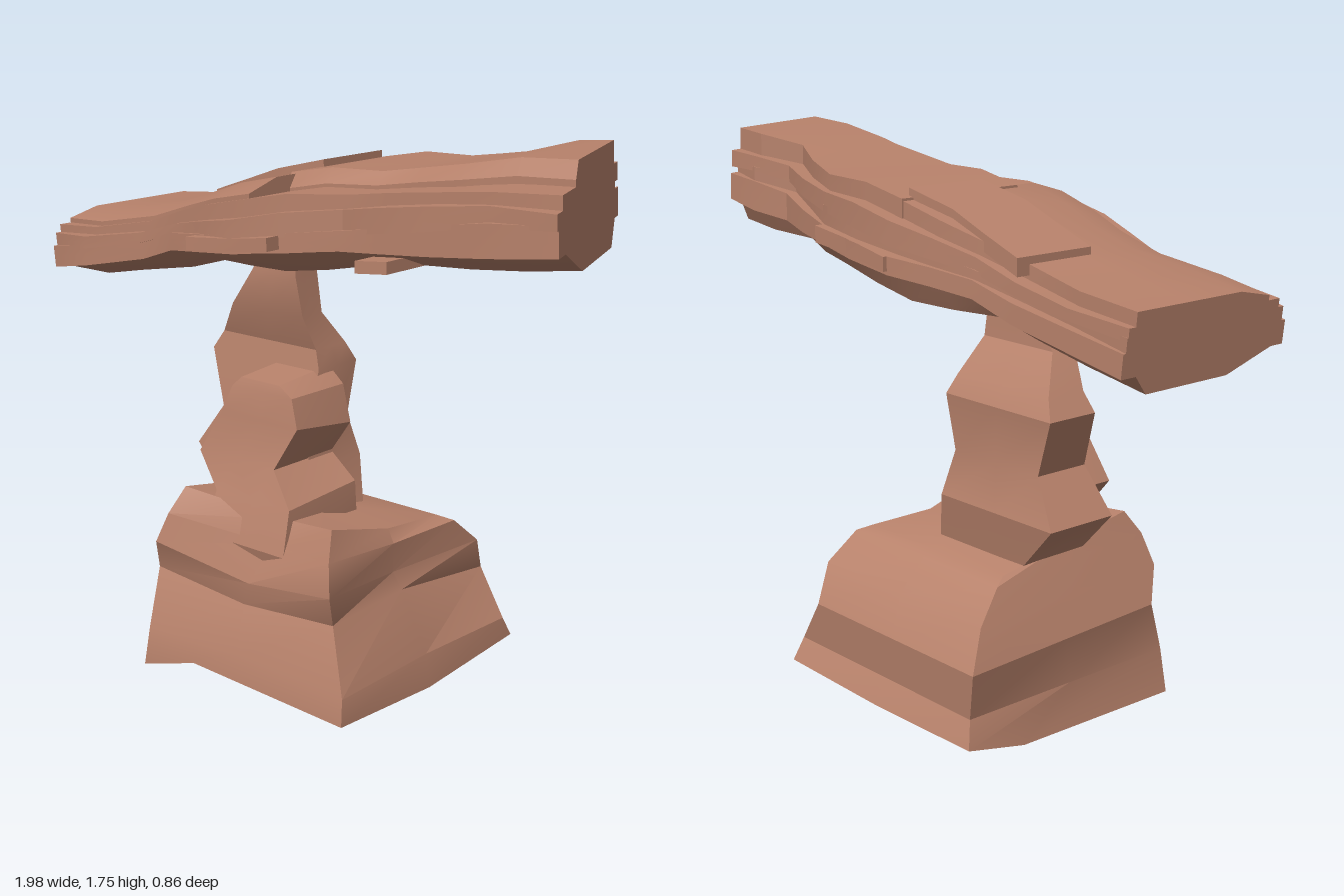
import * as THREE from 'three';
import { toCreasedNormals } from 'three/addons/utils/BufferGeometryUtils.js';

// Closed skin over a list of rings, each a list of [x, y, z]
function loft(rings, crease = 0.45) {
  const n = rings[0].length;
  const tri = [];
  for (let i = 0; i < rings.length - 1; i++) {
    for (let j = 0; j < n; j++) {
      const k = (j + 1) % n;
      const a = rings[i][j], b = rings[i][k], c = rings[i + 1][k], d = rings[i + 1][j];
      tri.push([a, b, c], [a, c, d]);
    }
  }
  const cap = (ring, flip) => {
    const mid = [0, 1, 2].map((q) => ring.reduce((s, p) => s + p[q], 0) / n);
    for (let j = 0; j < n; j++) {
      const a = ring[j], b = ring[(j + 1) % n];
      tri.push(flip ? [mid, b, a] : [mid, a, b]);
    }
  };
  cap(rings[0], true);
  cap(rings[rings.length - 1], false);
  // Turn the faces outward
  let volume = 0;
  for (const [a, b, c] of tri) {
    volume += new THREE.Vector3(...a).dot(new THREE.Vector3(...b).cross(new THREE.Vector3(...c)));
  }
  if (volume < 0) tri.forEach((t) => t.reverse());
  const g = new THREE.BufferGeometry();
  g.setAttribute('position', new THREE.Float32BufferAttribute(tri.flat(2), 3));
  return toCreasedNormals(g, crease);
}

// Piecewise linear curve through [x, value] points
function curve(points) {
  return (x) => {
    let i = 0;
    while (i < points.length - 2 && x > points[i + 1][0]) i++;
    const [x0, v0] = points[i], [x1, v1] = points[i + 1];
    return v0 + (v1 - v0) * THREE.MathUtils.clamp((x - x0) / (x1 - x0), 0, 1);
  };
}

// Eight-point ring; front and back may differ in height, and the front and
// right edge middles may be placed freely to form gullies
function blockRing([y, x0, x1, z0, z1, yBack = y, frontMid, rightMid]) {
  const mx = (x0 + x1) / 2, mz = (z0 + z1) / 2, my = (y + yBack) / 2;
  return [
    [x0, y, z1], frontMid ?? [mx, y, z1], [x1, y, z1], rightMid ?? [x1, my, mz],
    [x1, yBack, z0], [mx, yBack, z0], [x0, yBack, z0], [x0, my, mz],
  ];
}

export function createModel() {
  const model = new THREE.Group();
  const rock = new THREE.MeshStandardMaterial({ color: 0xb8826b });
  rock.name = 'redRock';
  const add = (name, geometry, parent = model) => {
    const mesh = new THREE.Mesh(geometry, rock);
    mesh.name = name;
    parent.add(mesh);
  };

  // Flared pedestal with an uneven foot
  const foot = [
    [-0.5, 0, 0.42], [-0.28, 0.065, 0.41], [0.36, 0.055, 0.43], [0.355, 0.03, 0],
    [0.36, 0.07, -0.43], [-0.07, 0.06, -0.43], [-0.5, 0.06, -0.42], [-0.5, 0.01, -0.2],
  ];
  add('pedestal', loft([foot, ...[
    [0.14, -0.47, 0.355, -0.39, 0.42, 0.14, [-0.1, 0.14, 0.4], [0.34, 0.14, 0]],
    [0.32, -0.5, 0.25, -0.405, 0.34, 0.29, [-0.12, 0.29, 0.34], [0.24, 0.33, 0]],
    [0.43, -0.46, 0.28, -0.34, 0.39, 0.41, [-0.09, 0.37, 0.35], [0.22, 0.39, 0.02]],
    [0.53, -0.42, 0.26, -0.24, 0.37, 0.5, [-0.03, 0.5, 0.3], [0.23, 0.49, 0.03]],
    [0.61, -0.4, 0.22, -0.2, 0.31, 0.52, [0, 0.58, 0.27], [0.2, 0.53, 0.02]],
  ].map(blockRing)]));

  // Tall thin rear column that carries the slab
  add('rearColumn', loft([
    [0.42, -0.36, 0.02, -0.1, 0.12],
    [0.53, -0.4, -0.02, -0.12, 0.12],
    [0.68, -0.55, -0.06, -0.15, 0.1],
    [0.82, -0.45, -0.08, -0.11, 0.08],
    [1.0, -0.52, -0.06, -0.13, 0.05],
    [1.06, -0.48, -0.08, -0.1, 0.04],
    [1.17, -0.4, -0.1, -0.01, 0.08],
    [1.3, -0.29, -0.11, 0, 0.1],
    [1.4, -0.25, -0.12, 0, 0.08],
  ].map(blockRing)));

  // Shorter twisted column in front of it
  add('frontColumn', loft([
    [0.3, -0.32, 0.02, -0.02, 0.28],
    [0.48, -0.3, 0.04, -0.02, 0.33],
    [0.62, -0.28, 0.03, -0.02, 0.29, 0.64],
    [0.72, -0.39, -0.07, -0.02, 0.25],
    [0.86, -0.31, 0.01, -0.02, 0.23, 0.83],
    [0.95, -0.27, -0.02, -0.02, 0.22],
    [0.98, -0.24, -0.08, -0.02, 0.21, 1.0],
  ].map(blockRing)));

  // Capstone outline along x
  const top = curve([[-1, 1.43], [-0.78, 1.45], [-0.57, 1.49], [-0.3, 1.58], [-0.12, 1.62],
    [0, 1.65], [0.23, 1.655], [0.5, 1.7], [0.76, 1.74], [0.97, 1.75]]);
  const bottom = curve([[-1, 1.19], [-0.8, 1.23], [-0.6, 1.255], [-0.45, 1.31], [-0.1, 1.32],
    [0.25, 1.38], [0.6, 1.41], [0.99, 1.45]]);
  const front = curve([[-1, 0.32], [-0.78, 0.365], [-0.5, 0.31], [-0.2, 0.38], [0, 0.38],
    [0.23, 0.29], [0.52, 0.32], [0.98, 0.32]]);
  const back = curve([[-1, -0.34], [-0.8, -0.34], [-0.52, -0.33], [-0.3, -0.39], [0, -0.415],
    [0.2, -0.4], [0.4, -0.34], [0.55, -0.29], [0.76, -0.36], [0.98, -0.36]]);
  const stations = [-0.99, -0.78, -0.57, -0.42, -0.28, -0.12, 0.05, 0.23, 0.38, 0.55, 0.76, 0.98];

  // One rock layer between two fractions of the height. keel narrows its underside,
  // slope narrows its upper front, and the right end is cut off at a slant.
  function layer(x0, x1, f0, f1, zBack, zFront, { keel = 0, slope = 0 } = {}) {
    const xs = [x0, ...stations.filter((x) => x > x0 + 0.03 && x < x1 - 0.03), x1];
    return loft(xs.map((x) => {
      const y = (f) => {
        const wave = 0.04 * Math.sin(4 * x + 9 * f) * Math.sin(Math.PI * THREE.MathUtils.clamp(f, 0, 1));
        return THREE.MathUtils.lerp(bottom(x), top(x), f + wave);
      };
      const wob = 0.01 * Math.sin(x * 11 + f0 * 20);
      const zb = zBack(x) + wob, zf = zFront(x) + wob;
      const lo = y(f0), hi = y(f1), mid = lo + (hi - lo) * (keel ? 0.75 : 0.5);
      return [
        [lo, zf - keel], [mid, zf], [hi, zf - slope], [hi, (zb + zf - slope) / 2],
        [hi, zb], [mid, zb], [lo, zb + keel / 4], [lo, (zb + zf) / 2 - keel / 2],
      ].map(([py, pz]) => {
        const right = Math.max(0, x - 0.5) / 0.48, left = x < -0.9 ? 0.1 : 0;
        return [x - right * (0.36 * (0.3 - pz) + 0.06 * (py - 1.6)) - left * (py - 1.35), py, pz];
      });
    }), 0.5);
  }

  const cap = new THREE.Group();
  cap.name = 'capstone';
  model.add(cap);
  const backIn = (d) => (x) => back(x) + d;
  const frontIn = (d) => (x) => front(x) - d;
  // Strata: x range, height range, inset at the back, inset at the front
  [
    [-0.99, 0.98, 0, 0.34, 0.06, 0.06, { keel: 0.18 }],
    [-0.99, 0.98, 0.26, 0.5, 0.01, 0.01],
    [-0.99, 0.98, 0.46, 0.66, 0.035, 0.01],
    [-0.99, 0.98, 0.6, 0.8, 0.02, 0.05],
    [-0.99, -0.1, 0.74, 0.97, 0.06, 0.08, { slope: 0.12 }],
  ].forEach(([x0, x1, f0, f1, b, f, shape], i) => {
    add('stratum' + (i + 1), layer(x0, x1, f0, f1, backIn(b), frontIn(f), shape), cap);
  });

  // Short ledges jutting from the sides
  add('frontLedge', layer(-0.28, 0.05, 0.3, 0.48, () => 0, () => 0.395), cap);
  add('backLedge', layer(-0.12, 0.23, 0.3, 0.5, () => -0.405, () => 0), cap);
  add('lowerLedge', layer(0.25, 0.36, 0, 0.12, () => -0.1, () => 0.24), cap);

  // Raised plates on top
  add('middleTopPlate', layer(-0.57, -0.1, 0.85, 1.07, () => -0.3, () => -0.02), cap);
  add('rightTopPlate', layer(-0.12, 0.98, 0.7, 1, backIn(0.06), () => 0.13, { slope: 0.03 }), cap);

  return model;
}
